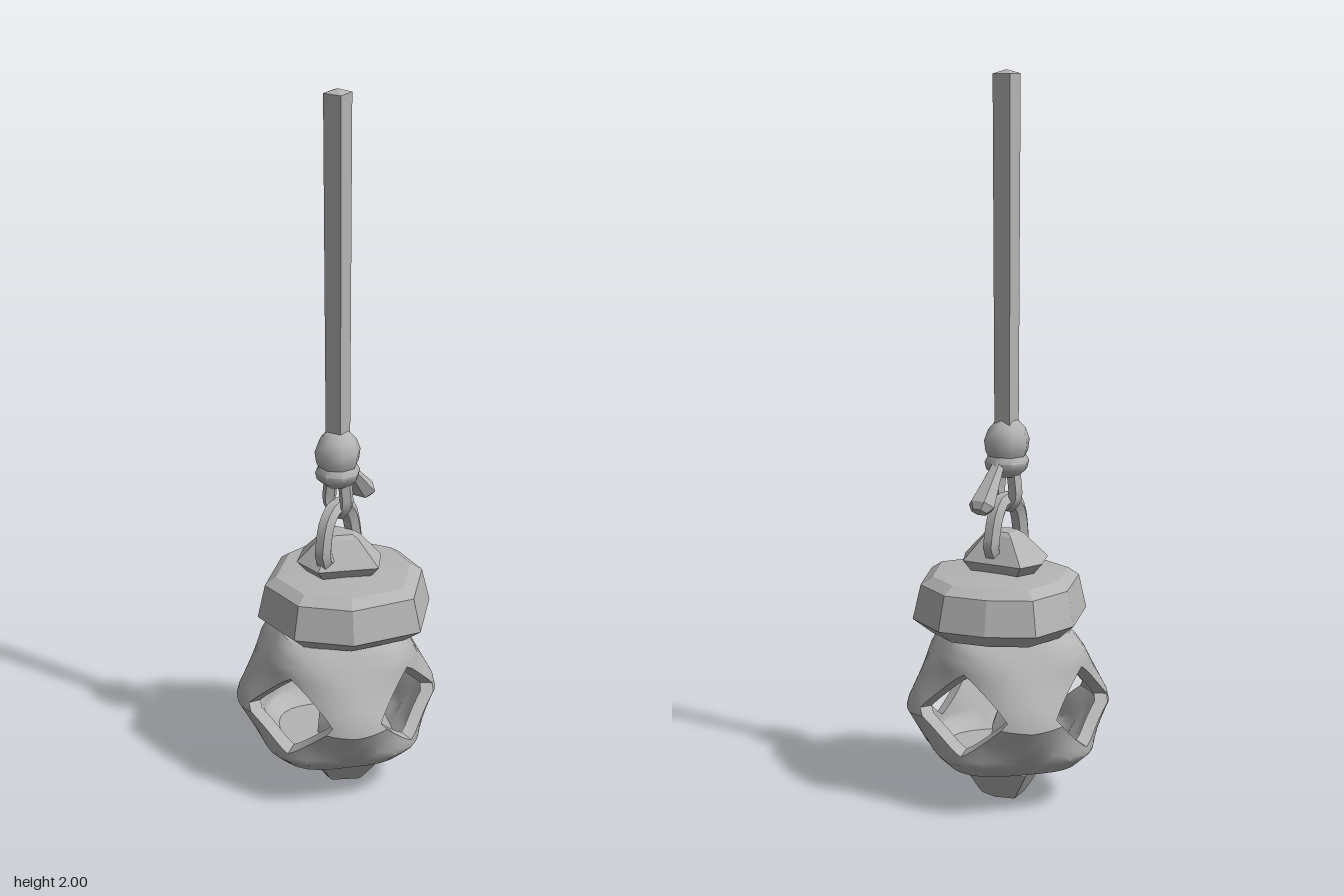
import * as THREE from 'three';
import { toCreasedNormals } from 'three/addons/utils/BufferGeometryUtils.js';

const stone = new THREE.MeshStandardMaterial({ color: 0xb4b4b4 });
stone.name = 'grey stone';

// Geometry from a list of corner points, three per triangle
function fromTriangles(points, crease) {
  const geo = new THREE.BufferGeometry().setFromPoints(points);
  return toCreasedNormals(geo, crease);
}

// Stack of scaled copies of an (x, z) outline; each ring is [y, scale], closed at both ends
function loft(outline, rings, crease = 0.3) {
  const all = [[rings[0][0], 0], ...rings, [rings[rings.length - 1][0], 0]];
  const at = (j, i) => {
    const [x, z] = outline[i % outline.length];
    const [y, s] = all[j];
    return new THREE.Vector3(x * s, y, z * s);
  };
  const tris = [];
  for (let j = 0; j < all.length - 1; j++) {
    for (let i = 0; i < outline.length; i++) {
      const a = at(j, i), b = at(j, i + 1), c = at(j + 1, i), d = at(j + 1, i + 1);
      if (all[j][1] > 0) tris.push(a, c, b);
      if (all[j + 1][1] > 0) tris.push(b, c, d);
    }
  }
  return fromTriangles(tris, crease);
}

// Piecewise linear profile lookup
function lookup(profile, y) {
  let i = 1;
  while (i < profile.length - 1 && y > profile[i][0]) i++;
  const [y0, r0] = profile[i - 1], [y1, r1] = profile[i];
  return r0 + (r1 - r0) * THREE.MathUtils.clamp((y - y0) / (y1 - y0), 0, 1);
}

// Hollow body: four patches, each with a diamond window, outer and inner skin
function bodyGeometry() {
  const side = [[0.11, 0.205], [0.15, 0.25], [0.27, 0.252], [0.42, 0.23], [0.46, 0.21], [0.48, 0.18]];
  const corner = [[0.11, 0.18], [0.15, 0.222], [0.27, 0.29], [0.42, 0.21], [0.48, 0.165]];
  const N = 32, M = 7, tris = [];
  const point = (q, k, t, scale) => {
    const f = (k % N) / N * Math.PI * 2, c = Math.cos(f), s = Math.sin(f);
    const box = Math.max(Math.abs(c), Math.abs(s));
    const dia = Math.pow(Math.abs(c) ** 1.15 + Math.abs(s) ** 1.15, 1 / 1.15);
    const u = THREE.MathUtils.lerp(0.68 * c / dia, c / box, t);
    const v = THREE.MathUtils.lerp(0.61 * s / dia - 0.04, s / box, t);
    const y = 0.295 + 0.185 * v;
    const w = Math.sin(u * Math.PI / 2) ** 2;
    const r = lookup(side, y) * (1 - w) + lookup(corner, y) * w;
    const a = (q + u / 2) * Math.PI / 2;
    return new THREE.Vector3(Math.sin(a) * r * scale, 0.29 + (y - 0.29) * scale, Math.cos(a) * r * scale);
  };
  for (let q = 0; q < 4; q++) {
    for (let k = 0; k < N; k++) {
      for (const scale of [1, 0.87]) {
        for (let m = 0; m < M; m++) {
          const a = point(q, k, m / M, scale), b = point(q, k, (m + 1) / M, scale);
          const c = point(q, k + 1, (m + 1) / M, scale), d = point(q, k + 1, m / M, scale);
          if (scale === 1) tris.push(a, b, c, a, c, d);
          else tris.push(a, c, b, a, d, c);
        }
        // floor and ceiling
        const b = point(q, k, 1, scale), c = point(q, k + 1, 1, scale);
        if (Math.abs(b.y - c.y) < 1e-6) {
          const mid = new THREE.Vector3(0, b.y, 0);
          if (scale === 1) tris.push(b, mid, c);
          else tris.push(b, c, mid);
        }
      }
      // window rim
      const o = point(q, k, 0, 1), o2 = point(q, k + 1, 0, 1);
      const n = point(q, k, 0, 0.87), n2 = point(q, k + 1, 0, 0.87);
      tris.push(o, o2, n, o2, n2, n);
    }
  }
  return fromTriangles(tris, 0.6);
}

// Closed loop of thick cord or iron through the given points
function loop(points, radius, sides) {
  const curve = new THREE.CatmullRomCurve3(points.map(p => new THREE.Vector3(...p)), true, 'catmullrom', 0.25);
  return toCreasedNormals(new THREE.TubeGeometry(curve, 24, radius, sides, true), 0.7);
}

export function createModel() {
  const group = new THREE.Group();
  const add = (name, geo, x = 0, y = 0, z = 0) => {
    const mesh = new THREE.Mesh(geo, stone);
    mesh.name = name;
    mesh.position.set(x, y, z);
    group.add(mesh);
    return mesh;
  };

  // Faceted foot below the body
  add('foot', loft([[-0.11, -0.06], [0.0, -0.09], [0.1, -0.06], [0.145, 0.04], [0.02, 0.14], [-0.09, 0.08]],
    [[0, 0.5], [0.015, 0.6], [0.085, 1], [0.115, 0.95]]));

  add('body', bodyGeometry(), -0.01, 0, 0.012);

  // Small stub inside the body
  add('innerStub', loft([[0.055, 0], [0.03, 0.05], [-0.03, 0.05], [-0.055, 0], [-0.03, -0.05], [0.03, -0.05]],
    [[0.14, 1], [0.2, 0.9], [0.27, 0.4]]), -0.01, 0, 0.015);

  // Irregular roof slab
  add('roof', loft([[-0.205, -0.17], [-0.085, -0.235], [0.048, -0.255], [0.18, -0.18], [0.265, 0.012],
    [0.155, 0.18], [0, 0.24], [-0.165, 0.175], [-0.235, -0.02]],
  [[0.48, 0.8], [0.52, 1], [0.615, 0.91], [0.637, 0.78], [0.648, 0.3]]));

  // Faceted cap on the roof
  add('cap', loft([[-0.1, -0.075], [0.08, -0.08], [0.125, 0.005], [0, 0.12], [-0.09, 0.09], [-0.125, 0]],
    [[0.635, 0.72], [0.675, 1], [0.745, 0.45], [0.755, 0.3]]));

  // Iron link standing in the cap, and the rope loop through it
  add('link', loop([[0, 0.7, 0.09], [0, 0.79, 0.082], [0, 0.832, 0.05], [0, 0.832, -0.015],
    [0, 0.79, -0.045], [0, 0.7, -0.06]], 0.025, 6));
  add('ropeLoop', loop([[-0.018, 0.93, 0.018], [-0.028, 0.85, 0.018], [0, 0.815, 0.018],
    [0.028, 0.85, 0.018], [0.018, 0.93, 0.018]], 0.02, 5));

  // Knot: upper ball and lower coil
  const round = Array.from({ length: 8 }, (_, i) => [Math.cos(i * Math.PI / 4), Math.sin(i * Math.PI / 4)]);
  add('knotTop', loft(round, [[0.955, 0.05], [0.975, 0.06], [1.005, 0.064], [1.035, 0.053], [1.06, 0.03]], 0.9), 0, 0, 0.02);
  add('knotCoil', loft(round, [[0.905, 0.035], [0.925, 0.058], [0.945, 0.063], [0.963, 0.053]], 0.9), 0, 0, 0.02);

  // Flared loose end hanging behind the knot
  const tail = add('ropeTail', loft([[1, 0], [0.5, 0.65], [-0.5, 0.65], [-1, 0], [-0.5, -0.65], [0.5, -0.65]],
    [[-0.075, 0.024], [-0.055, 0.04], [0.02, 0.027], [0.075, 0.02]]), 0, 0.885, -0.075);
  tail.rotation.x = 0.72;

  // Square rope with a slight point on top
  add('rope', loft([[-1, -1], [1, -1], [1, 1], [-1, 1]], [[1.03, 0.024], [1.99, 0.027], [2, 0.002]]), -0.002, 0, 0.015);

  return group;
}
